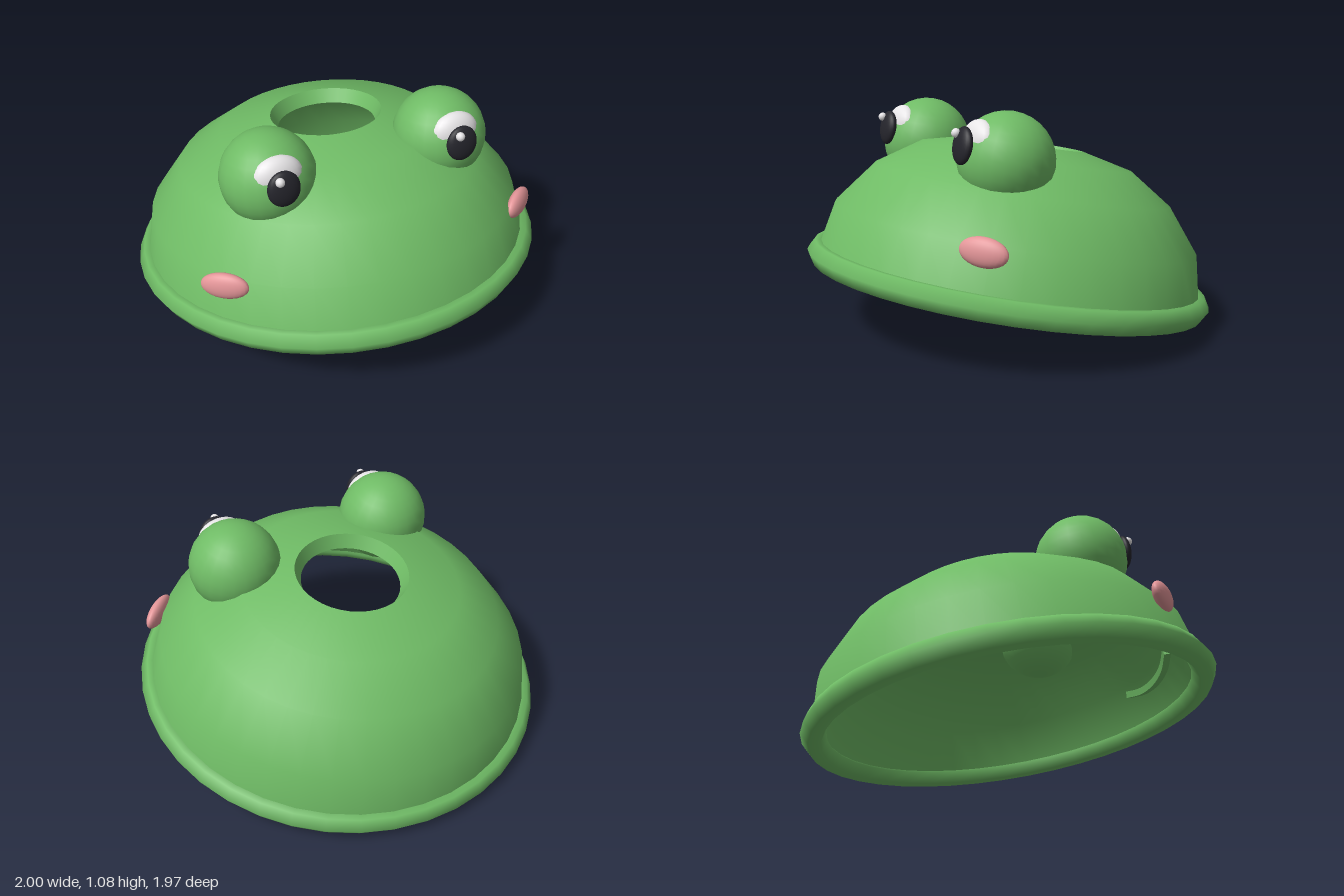
import * as THREE from 'three';

const mat = (name, color) => {
  const m = new THREE.MeshStandardMaterial({ color });
  m.name = name;
  return m;
};

export function createModel() {
  const green = mat('frog green', 0x6fbb65);
  const pink = mat('cheek pink', 0xe39598);
  const white = mat('eye white', 0xf4f2f4);
  const black = mat('pupil black', 0x25252c);

  const model = new THREE.Group();
  model.name = 'frogDome';

  // everything sits on a dome that leans back by ten degrees
  const body = new THREE.Group();
  body.name = 'tiltedBody';
  body.rotation.x = -THREE.MathUtils.degToRad(10);
  body.position.set(0, 0.22, 0.002);
  model.add(body);

  const add = (name, geometry, material, x = 0, y = 0, z = 0) => {
    const mesh = new THREE.Mesh(geometry, material);
    mesh.name = name;
    mesh.position.set(x, y, z);
    body.add(mesh);
    return mesh;
  };
  const ellipsoid = (name, material, size, pos, ws = 24, hs = 16) => {
    const mesh = add(name, new THREE.SphereGeometry(1, ws, hs), material, ...pos);
    mesh.scale.set(...size);
    return mesh;
  };
  const lathe = (name, pts) =>
    add(name, new THREE.LatheGeometry(pts.map((p) => new THREE.Vector2(...p)), 40), green);

  // hollow dome: outer skin, lip of the top hole, inner skin
  lathe('outerDome', [[0.952, 0], [0.9, 0.244], [0.733, 0.457], [0.522, 0.596], [0.27, 0.655]]);
  lathe('holeLip', [[0.27, 0.655], [0.237, 0.59]]);
  lathe('innerDome', [[0.237, 0.59], [0.46, 0.54], [0.66, 0.41], [0.82, 0.21], [0.89, 0]]);

  // rolled rim around the bottom edge
  add('rim', new THREE.TorusGeometry(0.94, 0.06, 6, 40).rotateX(Math.PI / 2), green);

  // eyes and cheeks, mirrored
  for (const s of [1, -1]) {
    const side = s > 0 ? 'left' : 'right';
    const x = s * 0.426;
    ellipsoid(side + 'EyeBulge', green, [0.22, 0.22, 0.22], [x, 0.583, 0.354], 24, 16);
    ellipsoid(side + 'EyeWhite', white, [0.115, 0.092, 0.06], [x, 0.655, 0.504]);
    ellipsoid(side + 'Pupil', black, [0.075, 0.084, 0.032], [x, 0.623, 0.577]);
    ellipsoid(side + 'EyeGlint', white, [0.021, 0.021, 0.021], [x - 0.022, 0.672, 0.606], 12, 8);
    const cheek = ellipsoid(side + 'Cheek', pink, [0.112, 0.064, 0.036], [s * 0.735, 0.222, 0.567]);
    cheek.rotation.y = s * 0.66;
  }

  // smile bar on the inside of the front wall
  const smile = new THREE.CatmullRomCurve3([
    new THREE.Vector3(-0.28, 0.152, 0.745),
    new THREE.Vector3(-0.15, 0.118, 0.77),
    new THREE.Vector3(0, 0.106, 0.779),
    new THREE.Vector3(0.15, 0.118, 0.77),
    new THREE.Vector3(0.28, 0.152, 0.745),
  ]);
  const a = 0.017;
  const section = new THREE.Shape([[-a, -a], [a, -a], [a, a], [-a, a]].map((p) => new THREE.Vector2(...p)));
  add('smile', new THREE.ExtrudeGeometry(section, { steps: 20, extrudePath: smile, bevelEnabled: false }), green);

  return model;
}
